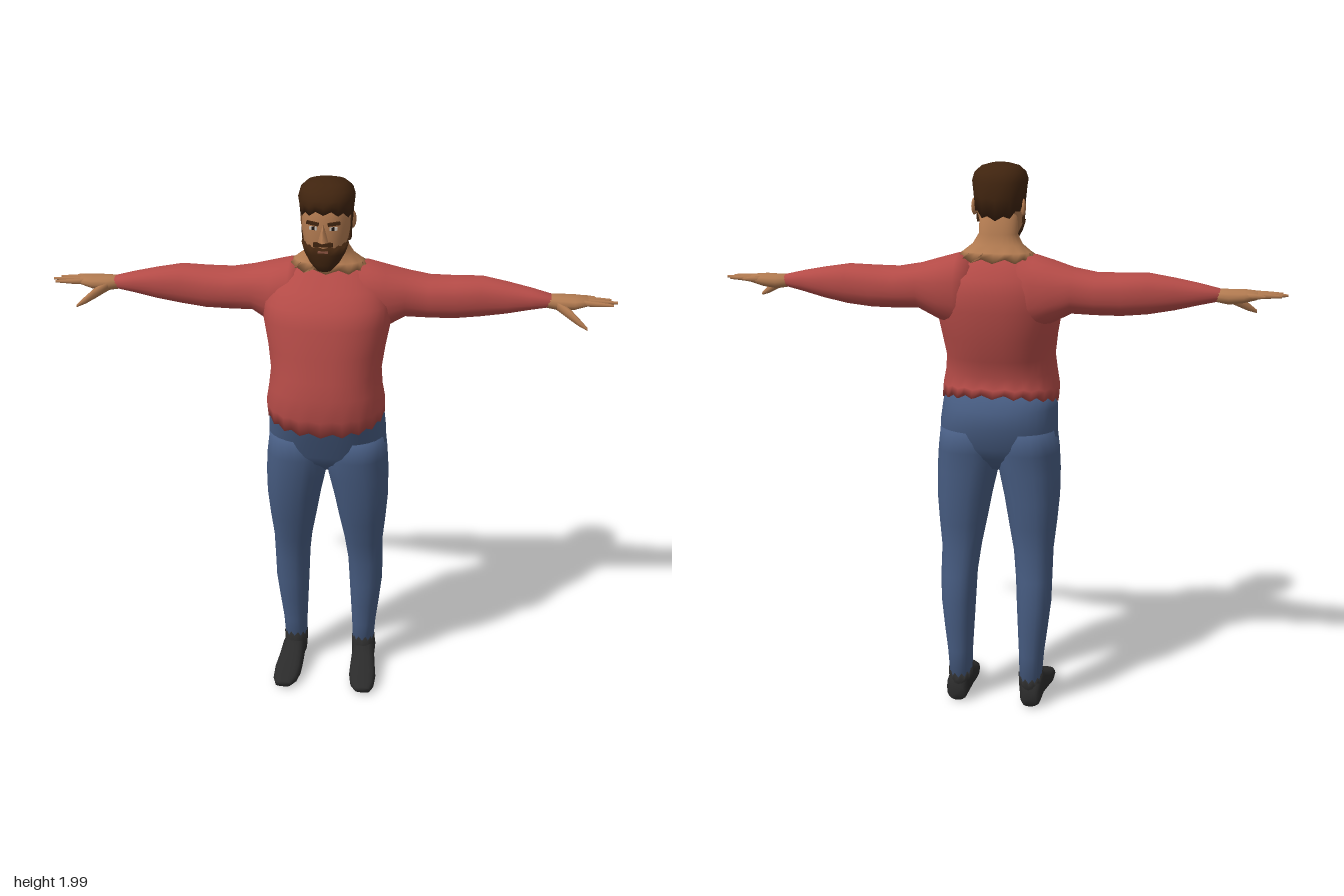
import * as THREE from 'three';

const mat = (name, color) => {
  const m = new THREE.MeshStandardMaterial({ color });
  m.name = name;
  return m;
};

// Closed smooth skin through rounded cross-sections.
// ring = [t, a0, a1, b0, b1, hemAmount]: position along the axis and the two ranges across it.
const AXES = {
  y: (t, a, b) => [a, t, b], // a = x, b = z
  x: (t, a, b) => [t, b, a], // a = z, b = y
  z: (t, a, b) => [b, a, t], // a = y, b = x
};
function loft(rings, { axis = 'y', n = 24, power = 2.3, hem = () => 0 } = {}) {
  const pos = [], idx = [], put = AXES[axis];
  const round = (v) => Math.sign(v) * Math.abs(v) ** (2 / power);
  for (const [t, a0, a1, b0, b1, k = 0] of rings) {
    for (let j = 0; j < n; j++) {
      const th = (j / n) * Math.PI * 2;
      const a = (a0 + a1) / 2 + ((a1 - a0) / 2) * round(Math.cos(th));
      const b = (b0 + b1) / 2 + ((b1 - b0) / 2) * round(Math.sin(th));
      pos.push(...put(t + k * hem(th, j), a, b));
    }
  }
  for (let i = 0; i < rings.length - 1; i++) {
    for (let j = 0; j < n; j++) {
      const p = i * n + j, q = i * n + ((j + 1) % n);
      idx.push(p, p + n, q, q, p + n, q + n);
    }
  }
  // end caps
  const last = (rings.length - 1) * n, c = rings.length * n;
  for (const r of [rings[0], rings[rings.length - 1]]) pos.push(...put(r[0], (r[1] + r[2]) / 2, (r[3] + r[4]) / 2));
  for (let j = 0; j < n; j++) {
    const k = (j + 1) % n;
    idx.push(c, j, k, c + 1, last + k, last + j);
  }
  const g = new THREE.BufferGeometry();
  g.setAttribute('position', new THREE.Float32BufferAttribute(pos, 3));
  g.setIndex(idx);
  g.computeVertexNormals();
  return g;
}

// Ring symmetric about x = 0: height, half width, front z, back z
const sym = ([y, w, zf, zb, k]) => [y, -w, w, zb, zf, k];

function mirrored(geometry) {
  const g = geometry.clone().scale(-1, 1, 1), ix = g.index;
  for (let i = 0; i < ix.count; i += 3) {
    const t = ix.getX(i);
    ix.setX(i, ix.getX(i + 1));
    ix.setX(i + 1, t);
  }
  return g;
}

export function createModel() {
  const model = new THREE.Group();
  model.name = 'man';
  const skin = mat('skin', 0xb17a50), hair = mat('brown hair', 0x40240f), red = mat('red shirt', 0xb44b47);
  const blue = mat('blue trousers', 0x465b80), black = mat('black shoes', 0x2b2b2b);
  const white = mat('eye white', 0xcfc4b8), dark = mat('dark eyes', 0x1c1410), lip = mat('lips', 0x8a5340);

  const add = (name, geometry, material) => {
    const m = new THREE.Mesh(geometry, material);
    m.name = name;
    model.add(m);
  };
  const pair = (name, geometry, material) => {
    add('left' + name, geometry, material);
    add('right' + name, mirrored(geometry), material);
  };
  const box = (w, h, d, x, y, z, ry = 0, rz = 0) =>
    new THREE.BoxGeometry(w, h, d).rotateZ(rz).rotateY(ry).translate(x, y, z);
  const zig = (j, s) => (j % 2 ? s : -s);

  // Shirt with a ragged hem, lower at the front
  add('shirtBody', loft([
    [1.16, 0.21, 0.178, -0.158, 1], [1.2, 0.211, 0.196, -0.142, 0.5], [1.26, 0.201, 0.193, -0.135],
    [1.32, 0.195, 0.185, -0.153], [1.4, 0.206, 0.17, -0.18], [1.5, 0.225, 0.156, -0.195],
    [1.56, 0.222, 0.135, -0.195], [1.61, 0.2, 0.085, -0.182], [1.66, 0.16, 0.035, -0.146],
    [1.69, 0.11, 0.0, -0.115],
  ].map(sym), {
    n: 40,
    hem: (th, j) => { const s = Math.sin(th); return (s > 0 ? -0.04 : -0.035) * Math.abs(s) * Math.sign(s) + zig(j, 0.008); },
  }), red);
  pair('Sleeve', loft([
    [0.07, -0.17, 0.05, 1.42, 1.688], [0.135, -0.178, 0.05, 1.43, 1.688], [0.2, -0.18, 0.04, 1.455, 1.67],
    [0.27, -0.172, 0.008, 1.493, 1.65], [0.35, -0.168, 0, 1.491, 1.636], [0.44, -0.16, -0.008, 1.491, 1.637],
    [0.53, -0.152, -0.02, 1.5, 1.64], [0.62, -0.135, -0.026, 1.516, 1.625], [0.7, -0.118, -0.032, 1.535, 1.609],
    [0.77, -0.102, -0.037, 1.55, 1.592],
  ], { axis: 'x' }), red);

  // Hands
  pair('Palm', loft([
    [0.74, -0.1, -0.039, 1.55, 1.592], [0.8, -0.11, -0.03, 1.54, 1.592],
    [0.85, -0.112, -0.022, 1.547, 1.592], [0.895, -0.105, -0.034, 1.56, 1.588],
  ], { axis: 'x', n: 12 }), skin);
  [[-0.097, -0.107, 0.92], [-0.082, -0.088, 0.975], [-0.063, -0.062, 0.996], [-0.045, -0.032, 0.98]].forEach(([z0, z1, tip], i) => {
    const zm = (z0 + z1) / 2, xm = (0.86 + tip) / 2;
    pair('Finger' + (i + 1), loft([
      [0.86, z0 - 0.01, z0 + 0.01, 1.563, 1.586], [xm, zm - 0.009, zm + 0.009, 1.565, 1.584],
      [tip, z1 - 0.004, z1 + 0.004, 1.57, 1.579],
    ], { axis: 'x', n: 8 }), skin);
  });
  pair('Thumb', loft([
    [0.79, -0.065, -0.03, 1.545, 1.58], [0.835, -0.035, -0.003, 1.522, 1.56],
    [0.865, -0.015, 0.01, 1.507, 1.535], [0.895, 0.008, 0.018, 1.497, 1.508],
  ], { axis: 'x', n: 8 }), skin);

  // Trousers
  add('hips', loft([
    [0.91, 0.06, 0.02, -0.09], [0.96, 0.19, 0.085, -0.135], [1.0, 0.216, 0.113, -0.156],
    [1.08, 0.212, 0.135, -0.18], [1.14, 0.207, 0.168, -0.17], [1.2, 0.2, 0.175, -0.135],
  ].map(sym), { n: 32 }), blue);
  pair('Leg', loft([
    [0.09, 0.093, 0.174, -0.142, -0.04], [0.2, 0.09, 0.182, -0.15, -0.03], [0.3, 0.085, 0.194, -0.156, -0.014],
    [0.4, 0.08, 0.205, -0.159, 0], [0.5, 0.075, 0.207, -0.15, 0.006], [0.6, 0.063, 0.207, -0.132, 0.03],
    [0.7, 0.044, 0.217, -0.141, 0.06], [0.8, 0.026, 0.225, -0.148, 0.085], [0.9, 0.004, 0.225, -0.15, 0.102],
    [0.98, -0.01, 0.22, -0.156, 0.112], [1.06, 0, 0.21, -0.165, 0.115],
  ]), blue);

  // Shoes: foot and ragged ankle
  pair('Shoe', loft([
    [-0.15, 0.005, 0.06, 0.11, 0.165], [-0.135, 0, 0.1, 0.1, 0.18], [-0.05, 0, 0.115, 0.095, 0.183],
    [0, 0, 0.085, 0.094, 0.19], [0.06, 0, 0.06, 0.095, 0.199], [0.11, 0.002, 0.044, 0.105, 0.197],
    [0.142, 0.008, 0.032, 0.125, 0.185],
  ], { axis: 'z', n: 16, power: 2.8 }), black);
  pair('Ankle', loft([
    [0.04, 0.093, 0.18, -0.148, -0.02], [0.08, 0.09, 0.178, -0.146, -0.03], [0.118, 0.089, 0.18, -0.147, -0.034, 1],
  ], { hem: (th, j) => 0.017 * Math.sin(th) + zig(j, 0.01) }), black);

  // Neck and head
  add('neck', loft([
    [1.672, 0.142, 0.032, -0.15, 1], [1.695, 0.12, 0.012, -0.125], [1.72, 0.088, 0, -0.105],
    [1.755, 0.068, 0.005, -0.088], [1.84, 0.066, 0.02, -0.075],
  ].map(sym), { hem: (th, j) => zig(j, 0.008) }), skin);
  add('head', loft([
    [1.705, 0.03, 0.08, 0.02], [1.735, 0.055, 0.092, -0.02], [1.78, 0.073, 0.098, -0.055],
    [1.83, 0.083, 0.1, -0.08], [1.88, 0.086, 0.098, -0.095], [1.93, 0.083, 0.085, -0.095], [1.965, 0.05, 0.05, -0.07],
  ].map(sym)), skin);
  pair('Ear', new THREE.SphereGeometry(1, 10, 8).scale(0.009, 0.03, 0.018).rotateY(-0.3).translate(0.086, 1.845, -0.03), skin);
  add('nose', new THREE.ConeGeometry(0.024, 0.066, 4).scale(0.75, 1, 1.1).rotateX(-0.12).translate(0, 1.833, 0.1), skin);

  // Hair: front edge high, nape low
  add('hair', loft([
    [1.868, 0.089, 0.1, -0.1, 1], [1.905, 0.092, 0.104, -0.109, 0.5], [1.935, 0.096, 0.103, -0.107, 0.1],
    [1.962, 0.088, 0.088, -0.092], [1.982, 0.066, 0.062, -0.064], [1.992, 0.03, 0.03, -0.03],
  ].map(sym), { hem: (th, j) => (Math.sin(th) > 0 ? 0.03 : 0.058) * Math.sin(th) + zig(j, 0.007) }), hair);
  pair('Sideburn', box(0.009, 0.1, 0.026, 0.081, 1.838, 0.012, -0.1, -0.05), hair);
  add('beard', loft([
    [1.695, 0.026, 0.092, 0.035], [1.72, 0.05, 0.103, 0.005], [1.755, 0.07, 0.107, -0.01], [1.79, 0.08, 0.106, -0.008, 1],
  ].map(sym), { hem: (th, j) => -0.012 * Math.sin(th) + zig(j, 0.004) }), hair);
  add('moustache', box(0.066, 0.014, 0.009, 0, 1.793, 0.103), hair);
  add('mouth', box(0.034, 0.007, 0.006, 0, 1.768, 0.106), lip);

  // Eyes and brows
  pair('Eye', box(0.026, 0.011, 0.006, 0.034, 1.847, 0.096, 0.2), white);
  pair('Iris', box(0.01, 0.011, 0.006, 0.033, 1.847, 0.0975, 0.2), dark);
  pair('Brow', box(0.042, 0.011, 0.008, 0.036, 1.864, 0.097, 0.25, 0.12), hair);

  return model;
}
